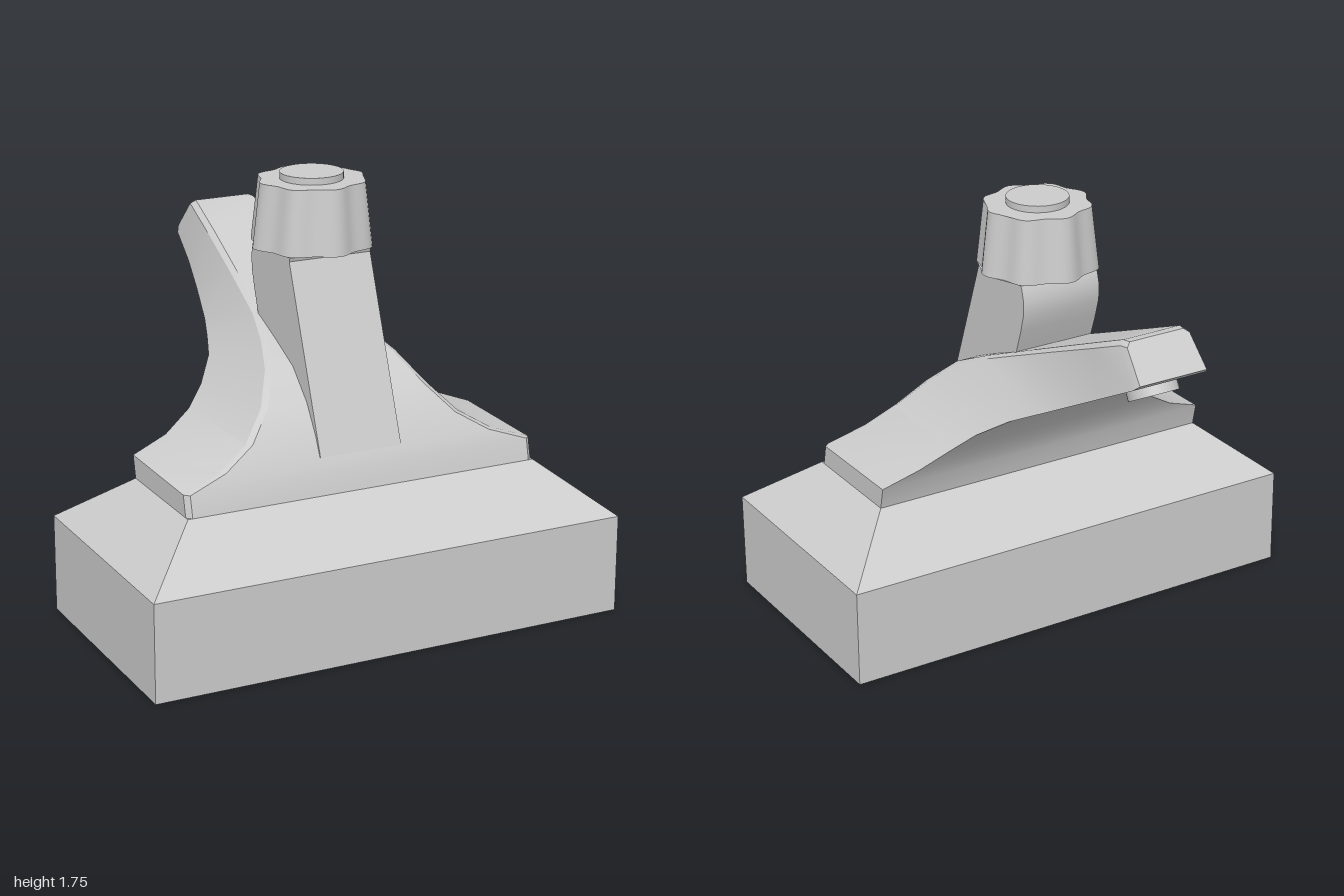
import * as THREE from 'three';
import { toCreasedNormals } from 'three/addons/utils/BufferGeometryUtils.js';

const material = new THREE.MeshStandardMaterial({ color: 0xcccccc });

function mesh(name, geometry) {
  const m = new THREE.Mesh(geometry, material);
  m.name = name;
  return m;
}

// Skin a list of equal-length rings of [x, y, z] points and cap both ends.
function loft(rings, crease) {
  const n = rings[0].length;
  const pos = [];
  const tri = (a, b, c) => pos.push(...a, ...b, ...c);
  for (let r = 0; r < rings.length - 1; r++) {
    const a = rings[r], b = rings[r + 1];
    for (let i = 0; i < n; i++) {
      const j = (i + 1) % n;
      tri(a[i], a[j], b[j]);
      tri(a[i], b[j], b[i]);
    }
  }
  const first = rings[0], last = rings[rings.length - 1];
  for (let i = 1; i < n - 1; i++) {
    tri(first[0], first[i + 1], first[i]);
    tri(last[0], last[i], last[i + 1]);
  }
  const g = new THREE.BufferGeometry();
  g.setAttribute('position', new THREE.Float32BufferAttribute(pos, 3));
  return toCreasedNormals(g, crease);
}

// Rectangle ring at height y, centred on z = zc.
const rect = (hx, y, hz, zc = 0.34) =>
  [[hx, y, zc + hz], [hx, y, zc - hz], [-hx, y, zc - hz], [-hx, y, zc + hz]];

export function createModel() {
  const group = new THREE.Group();

  // Hollow base: cavity ceiling, cavity walls, rim, outer walls, sloped shoulder
  group.add(mesh('base', loft([
    rect(0.7, 0.32, 0.19), rect(0.8, 0.24, 0.29), rect(0.8, 0, 0.29),
    rect(1, 0, 0.5), rect(1, 0.4, 0.5), rect(0.75, 0.6, 0.25),
  ], 0.1)));

  const boss = mesh('cavityBoss', new THREE.CylinderGeometry(0.15, 0.15, 0.04, 32));
  boss.position.set(0, 0.31, 0.34);
  group.add(boss);

  // Flared arm: [front z, front y, front half width, back z, back y, back half width]
  const stations = [
    [0.59, 0.6, 0.75, 0.09, 0.6, 0.75],
    [0.57, 0.685, 0.75, 0.07, 0.69, 0.75],
    [0.545, 0.74, 0.59, 0.045, 0.745, 0.6],
    [0.505, 0.82, 0.46, 0, 0.82, 0.48],
    [0.43, 0.93, 0.36, -0.06, 0.89, 0.4],
    [0.31, 1.04, 0.285, -0.17, 0.97, 0.315],
    [0.16, 1.107, 0.23, -0.26, 1.018, 0.28],
    [0, 1.172, 0.19, -0.35, 1.065, 0.25],
    [-0.25, 1.278, 0.17, -0.5, 1.145, 0.215],
    [-0.5, 1.384, 0.155, -0.65, 1.225, 0.185],
    [-0.68, 1.46, 0.148, -0.805, 1.308, 0.165],
    [-0.715, 1.462, 0.14, -0.83, 1.33, 0.15],
  ];
  const c = 0.02;
  group.add(mesh('arm', loft(stations.map(([fz, fy, fw, bz, by, bw]) => {
    const len = Math.hypot(bz - fz, by - fy);
    const ez = fz + (bz - fz) / len * c, ey = fy + (by - fy) / len * c;
    return [[fw, ey, ez], [bw, by, bz], [-bw, by, bz], [-fw, ey, ez],
      [-fw + c, fy, fz], [fw - c, fy, fz]];
  }), 0.4)));

  // Leaning post that rises from the arm: side outline as (z, y)
  const outline = [
    [0.29, 1.48], [0.28, 1.45], [0.55, 0.74], [0.45, 0.74], [0.1, 1], [-0.02, 1.1],
    [0, 1.17], [-0.035, 1.27], [-0.055, 1.34], [-0.058, 1.4], [-0.045, 1.45], [-0.03, 1.48],
  ];
  const post = new THREE.ExtrudeGeometry(
    new THREE.Shape(outline.map(([z, y]) => new THREE.Vector2(-z, y))),
    { depth: 0.35, bevelEnabled: false });
  post.translate(0, 0, -0.175);
  post.rotateY(Math.PI / 2);
  group.add(mesh('post', toCreasedNormals(post, 0.5)));

  // Fluted, tapering knob with eight lobes
  const fluted = (y, r) => Array.from({ length: 64 }, (_, i) => {
    const a = -i / 64 * Math.PI * 2;
    const rr = r * (0.95 + 0.05 * Math.cos(8 * a));
    return [rr * Math.cos(a), y, 0.12 - rr * Math.sin(-a)];
  });
  group.add(mesh('knob', loft([fluted(1.47, 0.248), fluted(1.728, 0.218)], 0.5)));

  const cap = mesh('knobCap', new THREE.CylinderGeometry(0.125, 0.125, 0.04, 48));
  cap.position.set(0, 1.735, 0.12);
  group.add(cap);

  // Round button under the arm tip, square to the underside
  const button = mesh('button', new THREE.CylinderGeometry(0.1, 0.1, 0.07, 32));
  button.position.set(0, 1.243, -0.687);
  button.rotation.x = Math.atan2(0.53, 1);
  group.add(button);

  return group;
}
